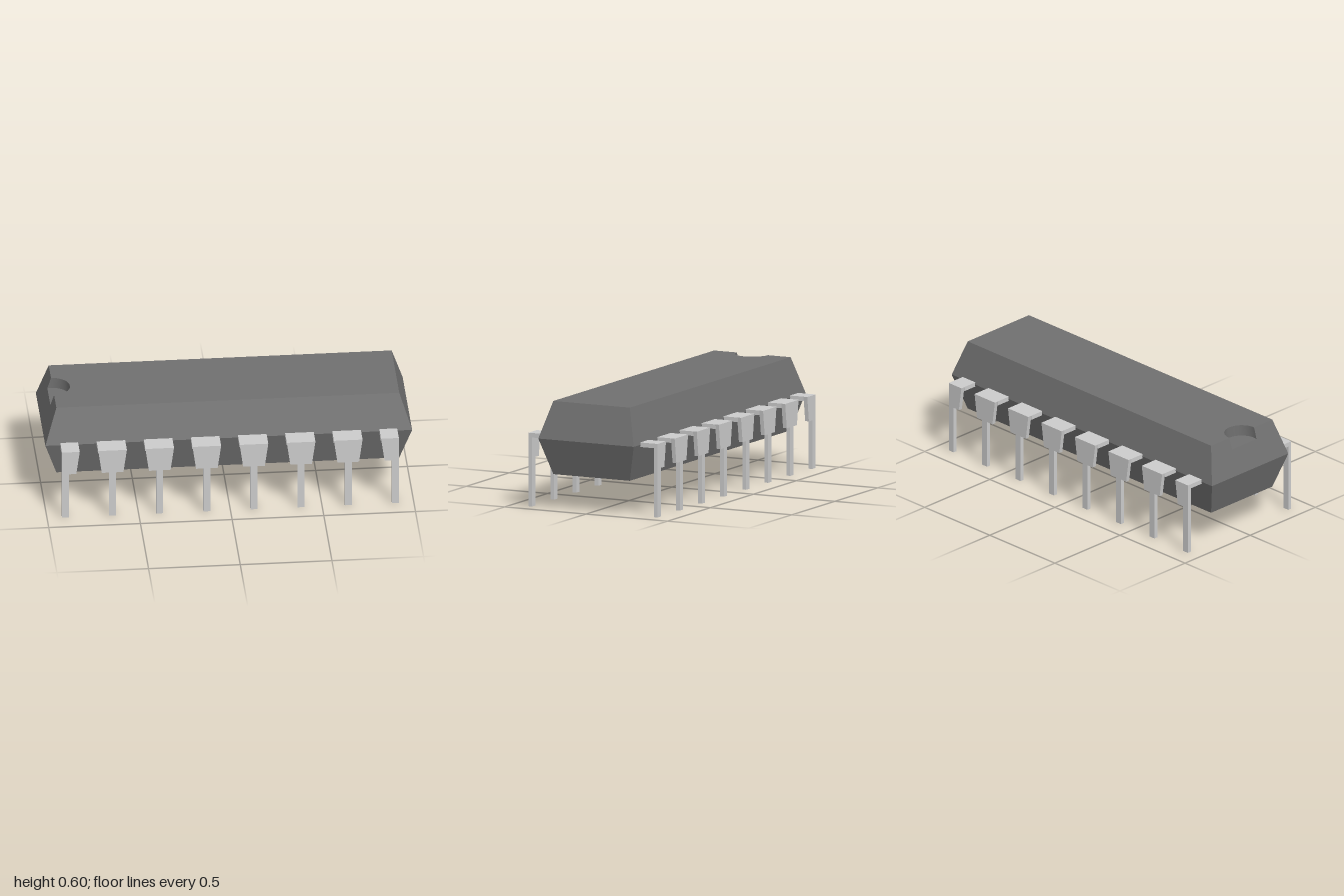
import * as THREE from 'three';
import { toCreasedNormals } from 'three/addons/utils/BufferGeometryUtils.js';

const V = (x, y, z) => new THREE.Vector3(x, y, z);

// body levels and half sizes
const Y_BOTTOM = 0.192, Y_MID = 0.393, Y_TOP = 0.595;
const MID_X = 1, MID_Z = 0.293, END_X = 0.935, END_Z = 0.235;
// end notch
const NOTCH_R = 0.095, NOTCH_Y = 0.533, NOTCH_END = -0.955;

// triangulates a flat polygon so that it faces the outward direction
function addPolygon(positions, points, outward) {
  const a = outward.toArray().map(Math.abs);
  const drop = a.indexOf(Math.max(...a));
  const flat = points.map((p) => new THREE.Vector2(...p.toArray().filter((_, i) => i !== drop)));
  if (THREE.ShapeUtils.isClockWise(flat)) {
    flat.reverse();
    points = [...points].reverse();
  }
  for (const tri of THREE.ShapeUtils.triangulateShape(flat, [])) {
    const [p, q, r] = tri.map((i) => points[i]);
    const n = q.clone().sub(p).cross(r.clone().sub(p));
    const ordered = n.dot(outward) < 0 ? [p, r, q] : [p, q, r];
    ordered.forEach((v) => positions.push(v.x, v.y, v.z));
  }
}

// double-tapered block with a round notch cut into the top of its right end
function bodyGeometry() {
  const pos = [];
  const loop = (x, y, z) => [V(x, y, z), V(x, y, -z), V(-x, y, -z), V(-x, y, z)];
  const bottom = loop(END_X, Y_BOTTOM, END_Z);
  const mid = loop(MID_X, Y_MID, MID_Z);
  const top = loop(END_X, Y_TOP, END_Z);
  const dirs = [V(1, 0, 0), V(0, 0, -1), V(-1, 0, 0), V(0, 0, 1)];

  // notch outline, from +z round to -z
  const endAngle = Math.acos((NOTCH_END + END_X) / NOTCH_R);
  const angles = [endAngle];
  for (let i = 0; i <= 16; i++) angles.push(Math.PI / 2 - (i * Math.PI) / 16);
  angles.push(-endAngle);
  const slope = (Y_TOP - Y_MID) / (MID_X - END_X);
  const floor = angles.map((t) => V(-END_X + NOTCH_R * Math.cos(t), NOTCH_Y, NOTCH_R * Math.sin(t)));
  const rim = floor.map((p) => V(p.x, Y_TOP - Math.max(0, -END_X - p.x) * slope, p.z));

  // sloping sides
  dirs.forEach((dir, i) => {
    const j = (i + 1) % 4;
    addPolygon(pos, [bottom[i], bottom[j], mid[j], mid[i]], dir);
    const cut = i === 2 ? [rim[1], floor[0], floor[floor.length - 1], rim[rim.length - 2]] : [];
    const upper = [mid[i], mid[j], top[j], ...cut, top[i]];
    addPolygon(pos, upper, dir);
  });

  // underside, top and notch
  addPolygon(pos, bottom, V(0, -1, 0));
  addPolygon(pos, [top[3], top[0], top[1], top[2], ...rim.slice(1, -1).reverse()], V(0, 1, 0));
  addPolygon(pos, floor, V(0, 1, 0));
  for (let i = 0; i < floor.length - 1; i++) {
    const inward = V(-END_X, 0, 0).sub(V(floor[i].x + floor[i + 1].x, 0, floor[i].z + floor[i + 1].z).multiplyScalar(0.5));
    const quad = [floor[i], floor[i + 1], rim[i + 1], rim[i]];
    // the wall runs out to nothing at the sloping end
    addPolygon(pos, quad.filter((p, k) => k === 0 || quad.slice(0, k).every((q) => q.distanceTo(p) > 1e-6)), inward);
  }

  const geo = new THREE.BufferGeometry();
  geo.setAttribute('position', new THREE.Float32BufferAttribute(pos, 3));
  return toCreasedNormals(geo, 0.3);
}

// tapered shoulder and narrow leg, cut from one plate;
// left and right are the shoulder's reach: [top, bottom]
function legGeometry(left, right) {
  const w = 0.019, shoulderY = 0.268, t = 0.023;
  const shape = new THREE.Shape([
    [-w, 0], [w, 0], [w, shoulderY], [right[1], shoulderY], [right[0], 0.405],
    [-left[0], 0.405], [-left[1], shoulderY], [-w, shoulderY],
  ].map(([x, y]) => new THREE.Vector2(x, y)));
  return new THREE.ExtrudeGeometry(shape, { depth: t, bevelEnabled: false }).translate(0, 0, 0.397 - t);
}

export function createModel() {
  const model = new THREE.Group();
  model.name = 'chip';
  const dark = new THREE.MeshStandardMaterial({ color: 0x707070 });
  const metal = new THREE.MeshStandardMaterial({ color: 0xcccccc });

  const add = (parent, name, geo, mat) => {
    const mesh = new THREE.Mesh(geo, mat);
    mesh.name = name;
    parent.add(mesh);
  };
  add(model, 'body', bodyGeometry(), dark);

  // two rows of eight pins; the outer pins have half a shoulder
  const wide = [0.078, 0.059], narrow = [0.019, 0.019];
  for (const side of [1, -1]) {
    const row = new THREE.Group();
    row.name = side > 0 ? 'frontPins' : 'backPins';
    row.rotation.y = side > 0 ? 0 : Math.PI;
    for (let i = 0; i < 8; i++) {
      const left = i === 0 ? narrow : wide;
      const right = i === 7 ? narrow : wide;
      const pin = new THREE.Group();
      pin.name = 'pin';
      pin.position.x = (i - 3.5) * 0.257;
      add(pin, 'leg', legGeometry(left, right), metal);
      const shelf = new THREE.BoxGeometry(left[0] + right[0], 0.025, 0.092);
      shelf.translate((right[0] - left[0]) / 2, 0.3925, 0.328);
      add(pin, 'shelf', shelf, metal);
      row.add(pin);
    }
    model.add(row);
  }
  return model;
}
